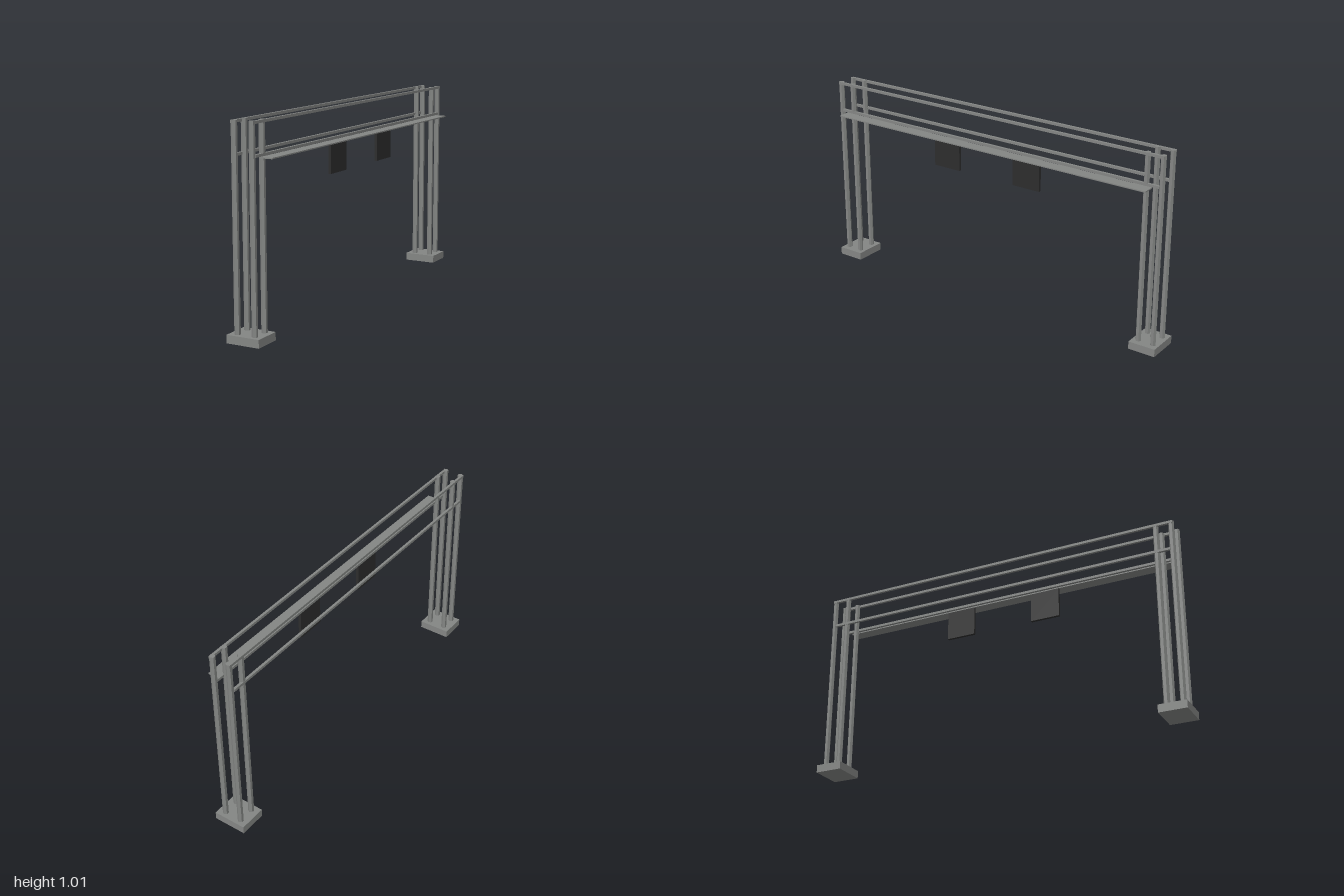
import * as THREE from 'three';

export function createModel() {
  const model = new THREE.Group();
  model.name = 'gantry';

  const steel = new THREE.MeshStandardMaterial({ color: 0x848684, flatShading: true });
  steel.name = 'grey steel';
  const black = new THREE.MeshStandardMaterial({ color: 0x2d2d2d, flatShading: true });
  black.name = 'black panel';

  function add(name, geometry, material, x, y, z) {
    const mesh = new THREE.Mesh(geometry, material);
    mesh.name = name;
    mesh.position.set(x, y, z);
    model.add(mesh);
    return mesh;
  }

  const postX = [-0.063, 0.029];
  const railX = [-0.07, 0.035];
  const baseHeight = 0.04, height = 1.007;

  // Footings with four hexagonal posts at each end
  const footing = new THREE.BoxGeometry(0.171, baseHeight, 0.142);
  const post = new THREE.CylinderGeometry(0.0145, 0.0145, height - baseHeight, 6);
  for (const side of [-1, 1]) {
    add('footing', footing, steel, -0.0175, baseHeight / 2, side * 0.929);
    for (const x of postX) {
      for (const z of [0.89, 0.97]) {
        add('post', post, steel, x, (height + baseHeight) / 2, side * z);
      }
    }
  }

  // Upper and lower rails spanning the posts
  for (const x of railX) {
    add('upperRail', new THREE.BoxGeometry(0.013, 0.013, 1.96), steel, x, 1.0, 0);
    add('lowerRail', new THREE.BoxGeometry(0.013, 0.013, 1.92), steel, x, 0.852, 0);
  }

  // Walkway plate along the outer side
  add('walkway', new THREE.BoxGeometry(0.062, 0.006, 1.85), steel, 0.072, 0.842, 0);

  // Hanging panels
  for (const side of [-1, 1]) {
    add('signPanel', new THREE.BoxGeometry(0.015, 0.155, 0.156), black, 0.0485, 0.762, side * 0.242);
  }

  return model;
}
